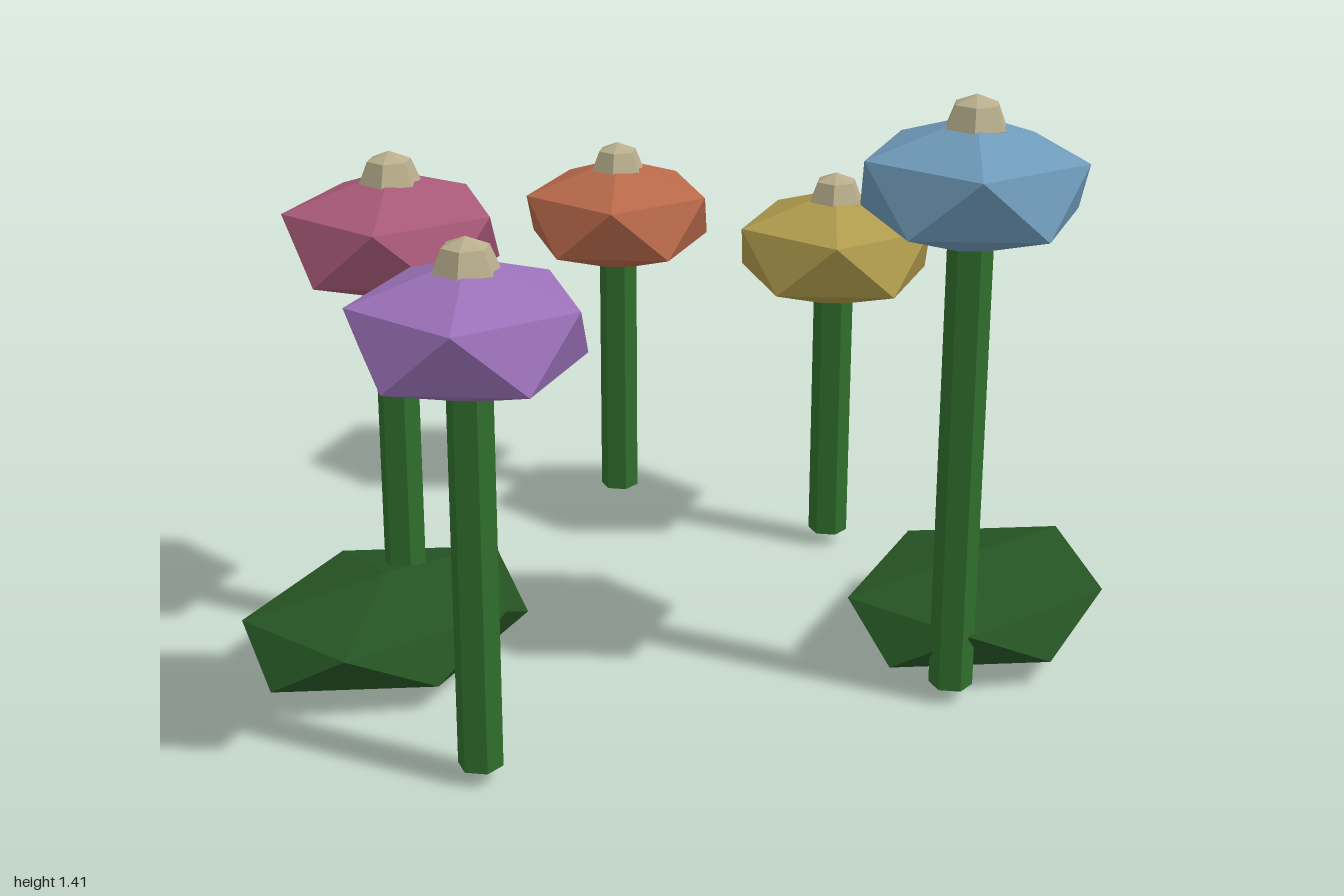
import * as THREE from 'three';

const flat = (color) => new THREE.MeshStandardMaterial({ color, flatShading: true });

// Icosahedron turned so that a corner points straight up, then stretched
function gem(rx, ry, rz) {
  const g = new THREE.IcosahedronGeometry(1, 0);
  g.rotateZ(-Math.atan(2 / (1 + Math.sqrt(5))));
  g.scale(rx, ry, rz);
  g.computeVertexNormals();
  return g;
}

function addMesh(parent, name, geometry, material, x, y, z) {
  const mesh = new THREE.Mesh(geometry, material);
  mesh.name = name;
  mesh.position.set(x, y, z);
  parent.add(mesh);
  return mesh;
}

export function createModel() {
  const model = new THREE.Group();
  model.name = 'flowerPatch';

  const stemMat = flat(0x2f6e2c);
  const leafMat = flat(0x255423);
  const centreMat = flat(0xb9ae8c);
  const headGeo = gem(0.277, 0.153, 0.277);
  const centreGeo = new THREE.SphereGeometry(0.072, 6, 4).rotateY(Math.PI / 6);
  const stemBase = 0.035;

  // Flowers: colour, x, z and height of the head's middle
  const flowers = [
    ['purple', 0x9b71b8, -0.75, 0.098, 1.017],
    ['pink', 0xa95a78, -0.367, -0.503, 1.017],
    ['blue', 0x6f9bbb, 0.203, 0.68, 1.217],
    ['orange', 0xb9694b, 0.642, -0.68, 0.812],
    ['yellow', 0xb19c4d, 0.75, -0.05, 0.812],
  ];
  for (const [name, color, x, z, y] of flowers) {
    const flower = new THREE.Group();
    flower.name = name + 'Flower';
    flower.position.set(x, 0, z);
    model.add(flower);

    // Six-sided stem with a corner towards +x
    const length = y - stemBase;
    const stemGeo = new THREE.CylinderGeometry(0.05, 0.05, length, 6).rotateY(Math.PI / 6);
    addMesh(flower, 'stem', stemGeo, stemMat, 0, stemBase + length / 2, 0);
    addMesh(flower, 'head', headGeo, flat(color), 0, y, 0);
    addMesh(flower, 'centre', centreGeo, centreMat, 0, y + 0.126, 0);
  }

  // Two low leaf clumps on the ground
  const leafGeo = gem(0.418, 0.113, 0.322);
  addMesh(model, 'backLeafClump', leafGeo, leafMat, -0.474, 0.113, -0.457);
  addMesh(model, 'frontLeafClump', leafGeo, leafMat, 0.505, 0.113, 0.56);

  return model;
}
